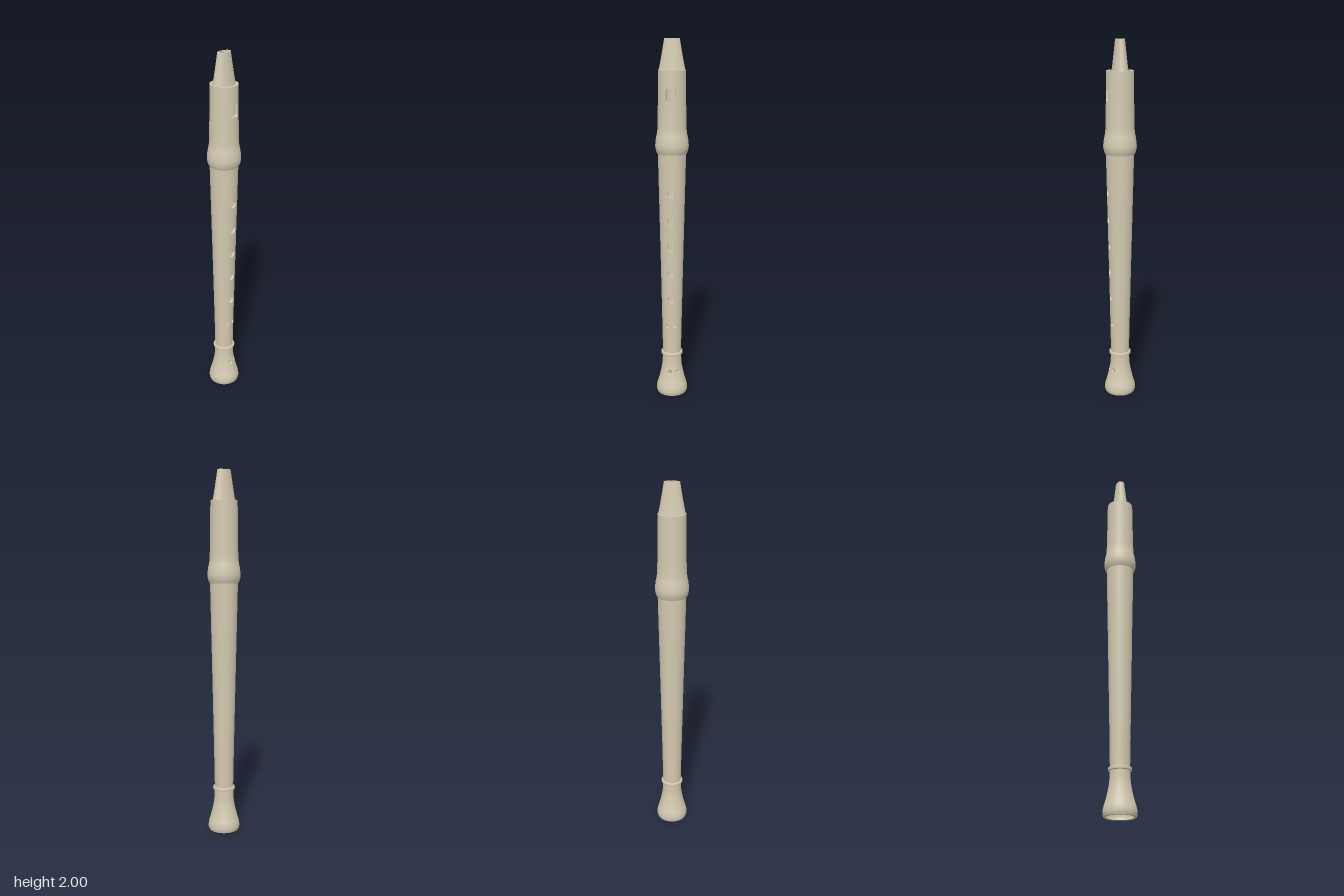
import * as THREE from 'three';
import { mergeGeometries } from 'three/addons/utils/BufferGeometryUtils.js';

const WALL = 0.013, SEG = 96;
const wood = new THREE.MeshStandardMaterial({ color: 0xd2c9b0, side: THREE.DoubleSide });

// Closed loop of n points swept through m + 1 rows; f(i, k) returns [x, y, z]
function loopGrid(n, m, f) {
  const pos = [], index = [];
  for (let k = 0; k <= m; k++) for (let i = 0; i < n; i++) pos.push(...f(i, k));
  for (let k = 0; k < m; k++) for (let i = 0; i < n; i++) {
    const j = (i + 1) % n, a = k * n + i, b = k * n + j, c = a + n, d = b + n;
    index.push(a, c, d, a, d, b);
  }
  const g = new THREE.BufferGeometry();
  g.setAttribute('position', new THREE.Float32BufferAttribute(pos, 3));
  g.setIndex(index);
  g.computeVertexNormals();
  return g;
}

// Smooth radius function through [y, r] points (monotone easing between them)
function profile(points) {
  const slope = points.map((p, i) => {
    if (i === 0 || i === points.length - 1) {
      const [a, b] = i === 0 ? [points[0], points[1]] : [points[i - 1], p];
      return (b[1] - a[1]) / (b[0] - a[0]);
    }
    const s0 = (p[1] - points[i - 1][1]) / (p[0] - points[i - 1][0]);
    const s1 = (points[i + 1][1] - p[1]) / (points[i + 1][0] - p[0]);
    return s0 * s1 <= 0 ? 0 : 2 * s0 * s1 / (s0 + s1);
  });
  return y => {
    let i = 0;
    while (i < points.length - 2 && y > points[i + 1][0]) i++;
    const [y0, r0] = points[i], [y1, r1] = points[i + 1], h = y1 - y0, t = (y - y0) / h;
    return r0 * (1 + 2 * t) * (1 - t) ** 2 + h * slope[i] * t * (1 - t) ** 2
      + r1 * t * t * (3 - 2 * t) + h * slope[i + 1] * t * t * (t - 1);
  };
}

const strip = (pts, a0 = 0, a1 = Math.PI * 2) => new THREE.LatheGeometry(
  pts.map(p => new THREE.Vector2(p[0], p[1])),
  Math.max(2, Math.round(SEG * (a1 - a0) / (Math.PI * 2))), a0, a1 - a0);

// Outer and bore skins between two heights, over an arc
function skins(r, y0, y1, a0, a1) {
  const n = Math.max(3, Math.ceil((y1 - y0) / 0.012));
  const ys = Array.from({ length: n + 1 }, (_, i) => y0 + (y1 - y0) * i / n);
  return [strip(ys.map(y => [r(y), y]), a0, a1),
    strip(ys.map(y => [r(y) - WALL, y]).reverse(), a0, a1)];
}

// Patch of tube wall pierced by one hole: {x, y, w, h, n}, n sets squareness
function holeCell(r, hole, a0, a1, y0, y1) {
  const N = 40, R = r(hole.y), ac = Math.asin(hole.x / R), n = hole.n || 2;
  const at = (i, t) => {
    const side = Math.floor(i / 10), s = (i % 10) / 5 - 1;
    const [u, v] = [[1, s], [-s, 1], [-1, -s], [s, -1]][side];
    const q = Math.hypot(u, v), c = u / q, d = v / q;
    const k = 1 / (Math.abs(c) ** n + Math.abs(d) ** n) ** (1 / n);
    return [
      (ac + c * k * hole.w / (R * Math.cos(ac))) * (1 - t) + ((a0 + a1) / 2 + u * (a1 - a0) / 2) * t,
      (hole.y + d * k * hole.h) * (1 - t) + ((y0 + y1) / 2 + v * (y1 - y0) / 2) * t];
  };
  const point = (i, t, depth) => {
    const [a, y] = at(i, t), rad = r(y) - depth;
    return [rad * Math.sin(a), y, rad * Math.cos(a)];
  };
  return [
    loopGrid(N, 4, (i, k) => point(i, k / 4, 0)),
    loopGrid(N, 4, (i, k) => point(i, 1 - k / 4, WALL)),
    loopGrid(N, 1, (i, k) => point(i, 0, (1 - k) * WALL)),
  ];
}

// Hollow tube with rows of holes: rows are {y0, y1, edges: [angles], holes}
function tube(name, points, rows = []) {
  const r = profile(points), bottom = points[0][0], top = points[points.length - 1][0];
  const parts = [];
  let y = bottom;
  for (const row of rows) {
    if (row.y0 > y) parts.push(...skins(r, y, row.y0, 0, Math.PI * 2));
    const e = row.edges;
    parts.push(...skins(r, row.y0, row.y1, e[e.length - 1], e[0] + Math.PI * 2));
    row.holes.forEach((h, i) => parts.push(...holeCell(r, h, e[i], e[i + 1], row.y0, row.y1)));
    y = row.y1;
  }
  parts.push(...skins(r, y, top, 0, Math.PI * 2));
  parts.push(strip([[r(top), top], [r(top) - WALL, top]]));
  parts.push(strip([[r(bottom) - WALL, bottom], [r(bottom), bottom]]));
  parts.forEach(g => g.deleteAttribute('uv'));
  return mesh(name, parts);
}

function mesh(name, parts) {
  parts.forEach(g => g.deleteAttribute('uv'));
  const m = new THREE.Mesh(mergeGeometries(parts), wood);
  m.name = name;
  return m;
}

// Oval mouthpiece: hollow taper with flat rims
function beak() {
  const oval = (t, inner) => {
    const e = t ** 0.9;
    return inner ? [0.058 - 0.028 * e, 0.031 - 0.013 * e] : [0.071 - 0.03 * e, 0.043 - 0.018 * e];
  };
  const ring = (i, t, inner) => {
    const a = i / 64 * Math.PI * 2, [x, z] = oval(t, inner);
    return [x * Math.sin(a), 1.838 + 0.162 * t, z * Math.cos(a)];
  };
  // rows run downward so the outside faces outward
  return mesh('mouthpiece', [
    loopGrid(64, 10, (i, k) => ring(63 - i, k / 10, false)),
    loopGrid(64, 10, (i, k) => ring(63 - i, 1 - k / 10, true)),
    loopGrid(64, 1, (i, k) => ring(63 - i, 1, k === 1)),
    loopGrid(64, 1, (i, k) => ring(63 - i, 0, k === 0)),
  ]);
}

export function createModel() {
  const group = new THREE.Group();
  group.name = 'recorder';

  // Head joint with the sounding window
  const head = tube('headJoint',
    [[1.4, 0.08], [1.408, 0.084], [1.44, 0.09], [1.475, 0.087], [1.52, 0.079], [1.56, 0.077], [1.84, 0.073]],
    [{ y0: 1.65, y1: 1.775, edges: [-0.6, 0.6], holes: [{ x: 0, y: 1.713, w: 0.028, h: 0.033, n: 9 }] }]);

  // Middle joint: paired small holes, then five finger holes
  const fingerRows = [0.58, 0.735, 0.885, 1.035, 1.19].map(y => ({
    y0: y - 0.04, y1: y + 0.04, edges: [-0.6, 0.6], holes: [{ x: 0, y, w: 0.021, h: 0.021 }],
  }));
  const pair = {
    y0: 0.395, y1: 0.445, edges: [-0.8, 0, 0.8],
    holes: [{ x: -0.02, y: 0.42, w: 0.013, h: 0.013 }, { x: 0.019, y: 0.42, w: 0.011, h: 0.011 }],
  };
  const middle = tube('middleJoint', [[0.25, 0.052], [0.42, 0.055], [1.402, 0.076]], [pair, ...fingerRows]);

  // Foot joint with flared bell and two small holes
  const foot = tube('footJoint',
    [[0, 0.083], [0.005, 0.086], [0.02, 0.088], [0.04, 0.086], [0.08, 0.075], [0.13, 0.063], [0.18, 0.055], [0.25, 0.052]],
    [{
      y0: 0.115, y1: 0.167, edges: [-0.6, 0.25, 1.2],
      holes: [{ x: -0.007, y: 0.141, w: 0.013, h: 0.013 }, { x: 0.037, y: 0.141, w: 0.012, h: 0.012 }],
    }]);

  // Collar where the foot meets the middle joint
  const collar = mesh('footCollar', [
    strip([[0.051, 0.232], [0.06, 0.234]]),
    strip([[0.06, 0.234], [0.062, 0.242], [0.06, 0.25]]),
    strip([[0.06, 0.25], [0.051, 0.252]]),
  ]);

  group.add(beak(), head, middle, foot, collar);
  return group;
}
